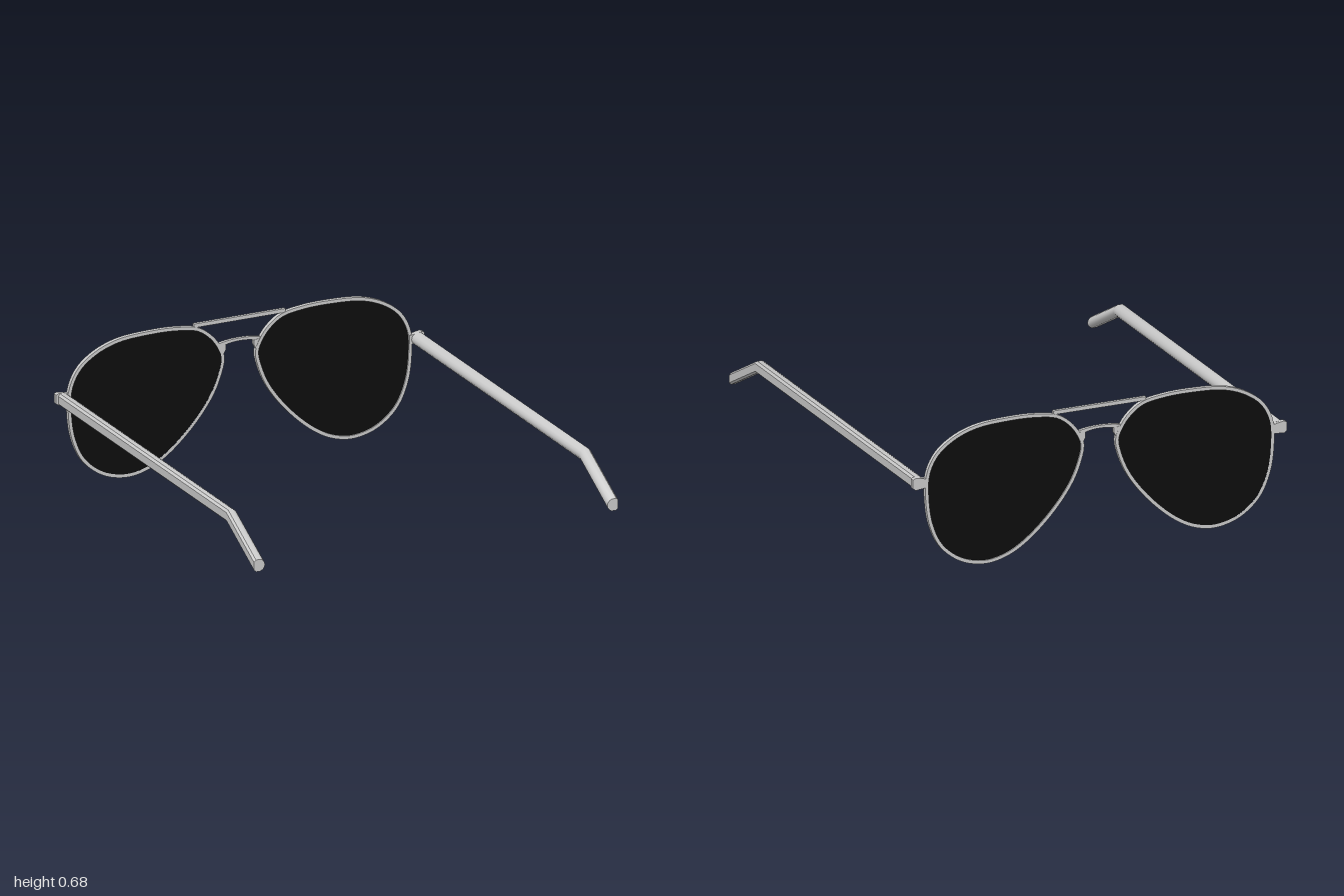
import * as THREE from 'three';
import { toCreasedNormals } from 'three/addons/utils/BufferGeometryUtils.js';

const metal = new THREE.MeshStandardMaterial({ color: 0xcccccc });
const dark = new THREE.MeshStandardMaterial({ color: 0x0d0d0d });

// Teardrop rim outline for the +x side
const OUTLINE = [
  [.45, .685], [.316, .681], [.206, .66], [.137, .61], [.097, .555], [.077, .5],
  [.095, .415], [.14, .316], [.24, .187], [.366, .075], [.465, .022], [.57, .004],
  [.69, .034], [.79, .115], [.843, .226], [.863, .356], [.858, .475], [.813, .565],
  [.73, .63], [.615, .672],
];
const RIM = 0.016;

// Samples the closed outline, moved inwards by the given distance
function outline(side, inset) {
  const curve = new THREE.CatmullRomCurve3(
    OUTLINE.map(([x, y]) => new THREE.Vector3(x, y, 0)), true, 'centripetal');
  const points = [];
  for (let i = 0; i < 96; i++) {
    const p = curve.getPointAt(i / 96), t = curve.getTangentAt(i / 96);
    points.push(new THREE.Vector2(side * (p.x - t.y * inset), p.y + t.x * inset));
  }
  return points;
}

function plate(name, shape, z, depth, material = metal, curveSegments = 12) {
  const geometry = new THREE.ExtrudeGeometry(shape, { depth, bevelEnabled: false, curveSegments });
  geometry.translate(0, 0, z);
  const mesh = new THREE.Mesh(toCreasedNormals(geometry, 0.6), material);
  mesh.name = name;
  return mesh;
}

// Arm: rounded inside, flat chamfered outside, bent down behind the ear
function temple(side) {
  const section = [[.905, .403], [.915, .413], [.915, .45], [.905, .46], [.882, .46],
    [.87, .453], [.862, .442], [.86, .4315], [.862, .421], [.87, .41], [.882, .403]];
  const shape = new THREE.Shape(section.map(([x, y]) => new THREE.Vector2(side * x, y)));
  const geometry = new THREE.ExtrudeGeometry(shape, { depth: 2, steps: 2, bevelEnabled: false });
  const stations = [[-.985, 0], [.72, 0], [1, -.147]];
  const pos = geometry.attributes.position;
  for (let i = 0; i < pos.count; i++) {
    const [z, drop] = stations[Math.round(pos.getZ(i))];
    pos.setXYZ(i, pos.getX(i), pos.getY(i) + drop, z);
  }
  const mesh = new THREE.Mesh(toCreasedNormals(geometry, 0.6), metal);
  mesh.name = 'temple';
  return mesh;
}

export function createModel() {
  const group = new THREE.Group();
  group.name = 'sunglasses';

  for (const side of [1, -1]) {
    const half = new THREE.Group();
    half.name = side > 0 ? 'leftSide' : 'rightSide';

    // Rim and lens
    const rim = new THREE.Shape(outline(side, 0));
    rim.holes.push(new THREE.Path(outline(side, RIM)));
    half.add(plate('rim', rim, -1, .02));
    half.add(plate('lens', new THREE.Shape(outline(side, RIM - .003)), -.994, .008, dark));

    // Hinge block joining rim and arm
    const hinge = new THREE.Shape([[.85, .412], [.912, .405], [.926, .415], [.926, .457],
      [.912, .463], [.85, .452]].map(([x, y]) => new THREE.Vector2(side * x, y)));
    half.add(plate('hinge', hinge, -1, .024));

    // Tab where the bridge meets the rim
    const tab = new THREE.Shape([[.112, .563], [.07, .557], [.07, .535], [.086, .505],
      [.098, .54]].map(([x, y]) => new THREE.Vector2(side * x, y)));
    half.add(plate('bridgeTab', tab, -.999, .018));

    half.add(temple(side));
    group.add(half);
  }

  // Arched nose bridge
  const bridge = new THREE.Shape();
  bridge.moveTo(-.112, .565);
  bridge.bezierCurveTo(-.06, .583, .06, .583, .112, .565);
  bridge.lineTo(.1, .547);
  bridge.bezierCurveTo(.05, .572, -.05, .572, -.1, .547);
  group.add(plate('noseBridge', bridge, -.998, .016));

  // Straight brow bar
  const bar = new THREE.Mesh(new THREE.BoxGeometry(.46, .018, .016), metal);
  bar.name = 'browBar';
  bar.position.set(0, .673, -.99);
  group.add(bar);

  return group;
}
